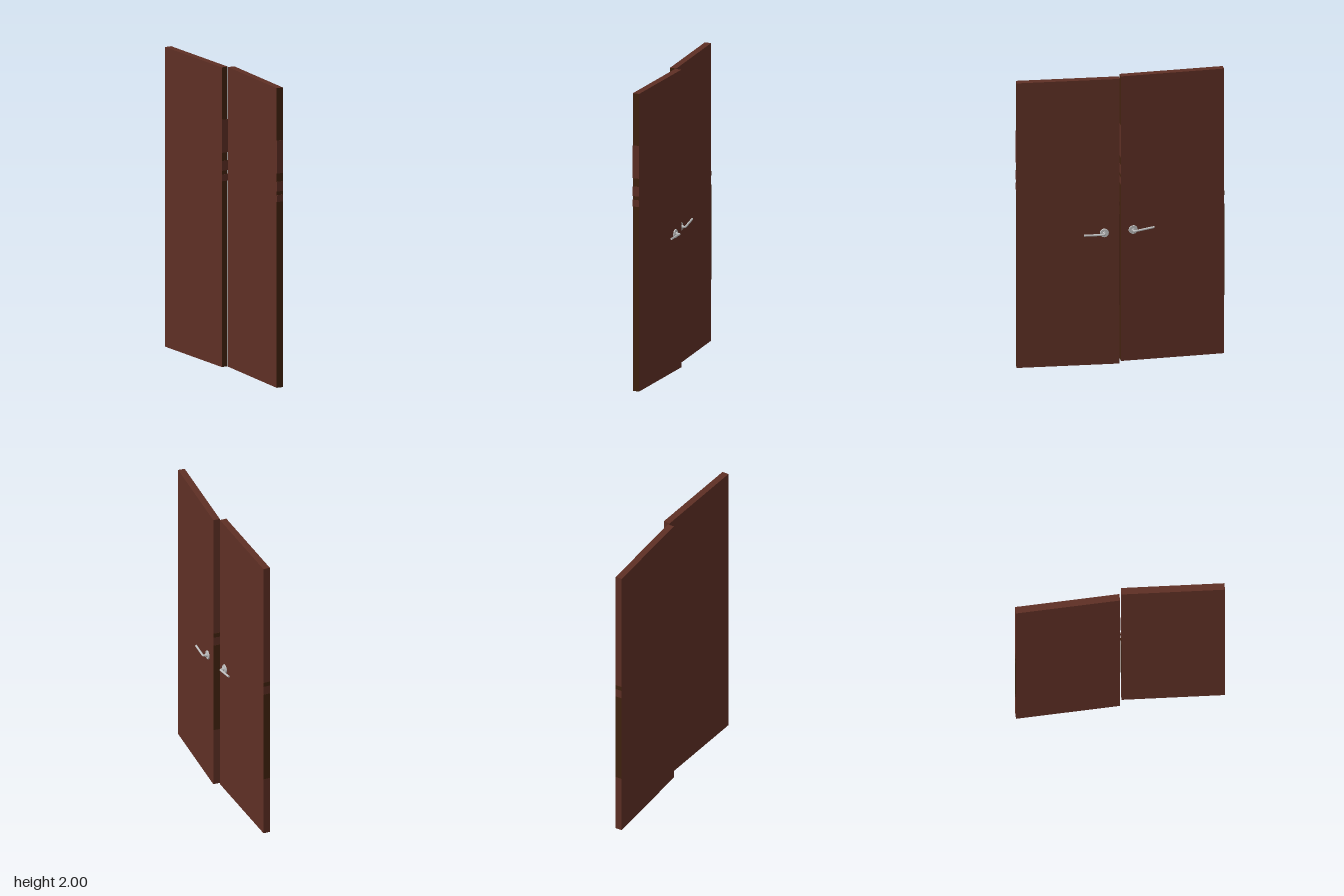
import * as THREE from 'three';

const wood = new THREE.MeshStandardMaterial({ color: 0x5e2f24 });
wood.name = 'redBrownWood';
const edging = new THREE.MeshStandardMaterial({ color: 0x42230f });
edging.name = 'darkBrownEdge';
const metal = new THREE.MeshStandardMaterial({ color: 0xbfbfbf });
metal.name = 'handleMetal';

const THICK = 0.045;

function add(parent, name, geometry, material, x, y, z) {
  const mesh = new THREE.Mesh(geometry, material);
  mesh.name = name;
  mesh.position.set(x, y, z);
  parent.add(mesh);
  return mesh;
}

// Lever handle on the +x face; dir is the way the lever points along the door
function makeHandle(dir, tilt) {
  const handle = new THREE.Group();
  handle.name = 'handle';
  add(handle, 'rosette', new THREE.CylinderGeometry(0.028, 0.03, 0.008, 24), metal, 0.004, 0, 0)
    .rotation.z = -Math.PI / 2;
  add(handle, 'collar', new THREE.CylinderGeometry(0.01, 0.012, 0.014, 16), metal, 0.013, 0, 0)
    .rotation.z = -Math.PI / 2;

  // Spindle turning through a tight bend into the grip
  const v = (x, z) => new THREE.Vector3(x, 0, z * dir);
  const path = new THREE.CurvePath();
  path.add(new THREE.LineCurve3(v(0, 0), v(0.026, 0)));
  path.add(new THREE.QuadraticBezierCurve3(v(0.026, 0), v(0.034, 0), v(0.034, 0.008)));
  path.add(new THREE.LineCurve3(v(0.034, 0.008), v(0.034, 0.135)));
  const lever = add(handle, 'lever', new THREE.TubeGeometry(path, 60, 0.007, 10), metal, 0, 0, 0);
  lever.rotation.x = -tilt * dir;
  const cap = add(lever, 'leverEnd', new THREE.CircleGeometry(0.007, 10), metal, 0.034, 0, 0.135 * dir);
  if (dir < 0) cap.rotation.y = Math.PI;
  return handle;
}

// Leaf whose length runs along local z, with painted bands on its narrow ends
function makeDoor(name, length, x, z, angle, handle) {
  const door = new THREE.Group();
  door.name = name;
  door.position.set(x, 0, z);
  door.rotation.y = angle;
  // box face order: +x, -x, +y, -y, +z, -z
  add(door, 'leaf', new THREE.BoxGeometry(THICK, 2, length),
    [wood, wood, wood, wood, edging, wood], 0, 1, 0);

  const band = (side, low, high, material) =>
    add(door, 'edgeBand', new THREE.BoxGeometry(THICK, high - low, 0.002),
      material, 0, (low + high) / 2, side * (length / 2 + 0.001));
  for (const [low, high] of [[1.43, 1.65], [1.31, 1.375], [1.24, 1.285]]) band(1, low, high, wood);
  for (const [low, high] of [[0.41, 1.05], [1.11, 1.14]]) band(-1, low, high, edging);

  const h = makeHandle(handle.dir, handle.tilt);
  h.position.set(THICK / 2, handle.y, handle.z);
  door.add(h);
  return door;
}

export function createModel() {
  const model = new THREE.Group();
  model.name = 'doubleDoor';
  model.add(
    makeDoor('frontDoor', 0.673, -0.064, 0.342, -0.32, { y: 0.923, z: -0.236, dir: 1, tilt: 0 }),
    makeDoor('backDoor', 0.682, 0.087, -0.333, -0.238, { y: 0.918, z: 0.261, dir: -1, tilt: 0.15 })
  );
  return model;
}
